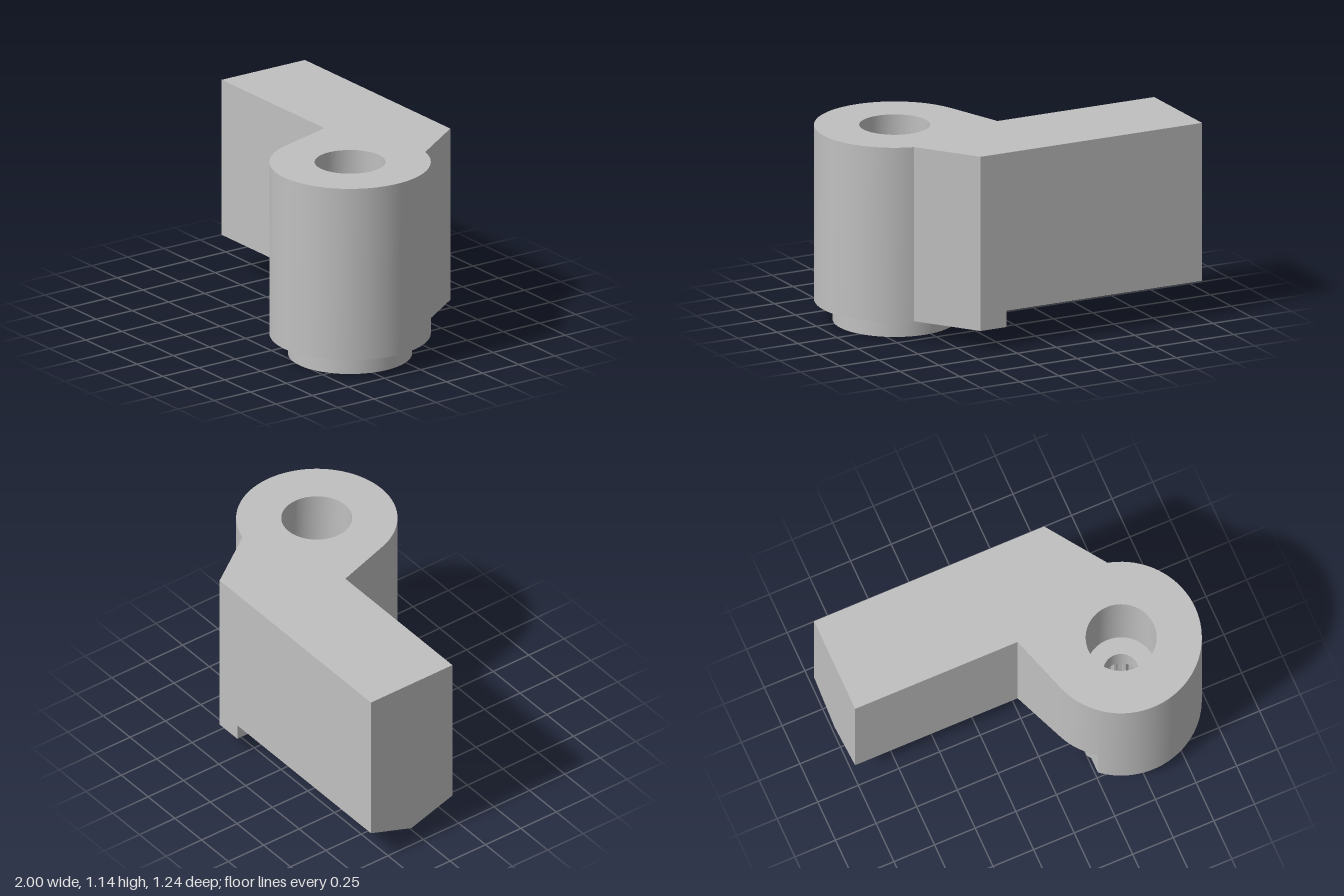
import * as THREE from 'three';
import { mergeGeometries, toCreasedNormals } from 'three/addons/utils/BufferGeometryUtils.js';

const TOP = 1.145, BASE = 0.12, WEB_LOW = 0.45, WEB_HIGH = 0.6;
const CX = 0.545, CZ = 0.165, R = 0.455;      // boss axis and radius
const CUT = 0.25, RIDGE = -0.335;             // relief step in x, keel line in z
const BACK = -0.62, FRONT = -0.045;           // arm faces
const level = (y) => () => y;
const keel = (x, z) => BASE + 0.335 * Math.abs(z - RIDGE);

// points on a circle round the boss axis, as [x, z]
function arc(r, from, to, n) {
  const pts = [];
  for (let i = 0; i <= n; i++) {
    const a = from + (to - from) * i / n;
    pts.push([CX + r * Math.cos(a), CZ + r * Math.sin(a)]);
  }
  return pts;
}
const ring = (r, n = 64) => arc(r, 0, Math.PI * 2, n);

// vertical wall along a chain of [x, z] points, between two height rules
function wall(pts, low, high) {
  const pos = [];
  for (let i = 0; i < pts.length - 1; i++) {
    const [p, q] = [pts[i], pts[i + 1]];
    const a = [p[0], low(...p), p[1]], b = [q[0], low(...q), q[1]];
    const c = [q[0], high(...q), q[1]], d = [p[0], high(...p), p[1]];
    pos.push(...a, ...b, ...c, ...a, ...c, ...d);
  }
  const g = new THREE.BufferGeometry();
  g.setAttribute('position', new THREE.Float32BufferAttribute(pos, 3));
  return g;
}

// flat or folded cap over an outline, facing up or down
function cap(pts, height, up, hole) {
  const shape = new THREE.Shape(pts.map((p) => new THREE.Vector2(...p)));
  if (hole) shape.holes.push(new THREE.Path(hole.map((p) => new THREE.Vector2(...p))));
  const g = new THREE.ShapeGeometry(shape).toNonIndexed();
  const p = g.attributes.position, pos = [];
  for (let i = 0; i < p.count; i += 3) {
    for (const k of up ? [i, i + 2, i + 1] : [i, i + 1, i + 2]) {
      pos.push(p.getX(k), height(p.getX(k), p.getY(k)), p.getY(k));
    }
  }
  const out = new THREE.BufferGeometry();
  out.setAttribute('position', new THREE.Float32BufferAttribute(pos, 3));
  return out;
}

export function createModel() {
  const group = new THREE.Group();
  const metal = new THREE.MeshStandardMaterial({ color: 0xc0c0c0 });
  metal.name = 'plain grey';
  const add = (name, parts) => {
    const mesh = new THREE.Mesh(toCreasedNormals(mergeGeometries(parts), 0.5), metal);
    mesh.name = name;
    group.add(mesh);
  };

  // outline, split where the underside relief ends
  const cutAngle = Math.acos((CUT - CX) / R);
  const leftFront = [[-1, RIDGE], [-1, FRONT], [0, FRONT],
    ...arc(R, 2.833, cutAngle, 8)];
  const left = [[CUT, BACK], [-1, BACK], ...leftFront];
  const right = [...arc(R, cutAngle, -1.326, 56), [0.415, BACK], [CUT, BACK]];
  const cutEnd = right[0];

  // spline profile inside the lower socket
  const teeth = 20, spline = [];
  for (let i = 0; i <= teeth * 4; i++) {
    const step = i % 4;
    const r = step < 2 ? 0.2 : 0.172;
    const a = (Math.floor(i / 4) + [0, 0.4, 0.55, 0.85][step]) / teeth * Math.PI * 2;
    spline.push([CX + r * Math.cos(a), CZ + r * Math.sin(a)]);
  }

  // arm and boss, with the keeled underside and its step
  add('armAndBoss', [
    wall(left, keel, level(TOP)),
    wall(right, level(BASE), level(TOP)),
    wall([[CUT, BACK], [CUT, RIDGE], cutEnd], level(BASE), keel),
    cap([...left, ...right.slice(1, -1)], level(TOP), true, ring(0.2)),
    cap(right, level(BASE), false, ring(0.2)),
    cap([[CUT, RIDGE], ...leftFront], keel, false),
    cap([[CUT, BACK], [-1, BACK], [-1, RIDGE], [CUT, RIDGE]], keel, false),
  ]);

  // collar below the boss, with one flat side
  const flat = Math.acos((CUT - CX) / 0.35);
  const collar = arc(0.35, flat, -flat, 56);
  add('collar', [
    wall([...collar, collar[0]], level(0), level(BASE)),
    cap(collar, level(0), false, spline),
  ]);

  // splined socket, through hole and upper bore
  add('splinedSocket', [
    wall(spline, level(0), level(WEB_LOW)),
    cap(ring(0.2), level(WEB_LOW), false, ring(0.1)),
  ]);
  add('throughHole', [wall(ring(0.1), level(WEB_LOW), level(WEB_HIGH))]);
  add('upperBore', [
    wall(ring(0.2), level(WEB_HIGH), level(TOP)),
    cap(ring(0.2), level(WEB_HIGH), true, ring(0.1)),
  ]);
  return group;
}
